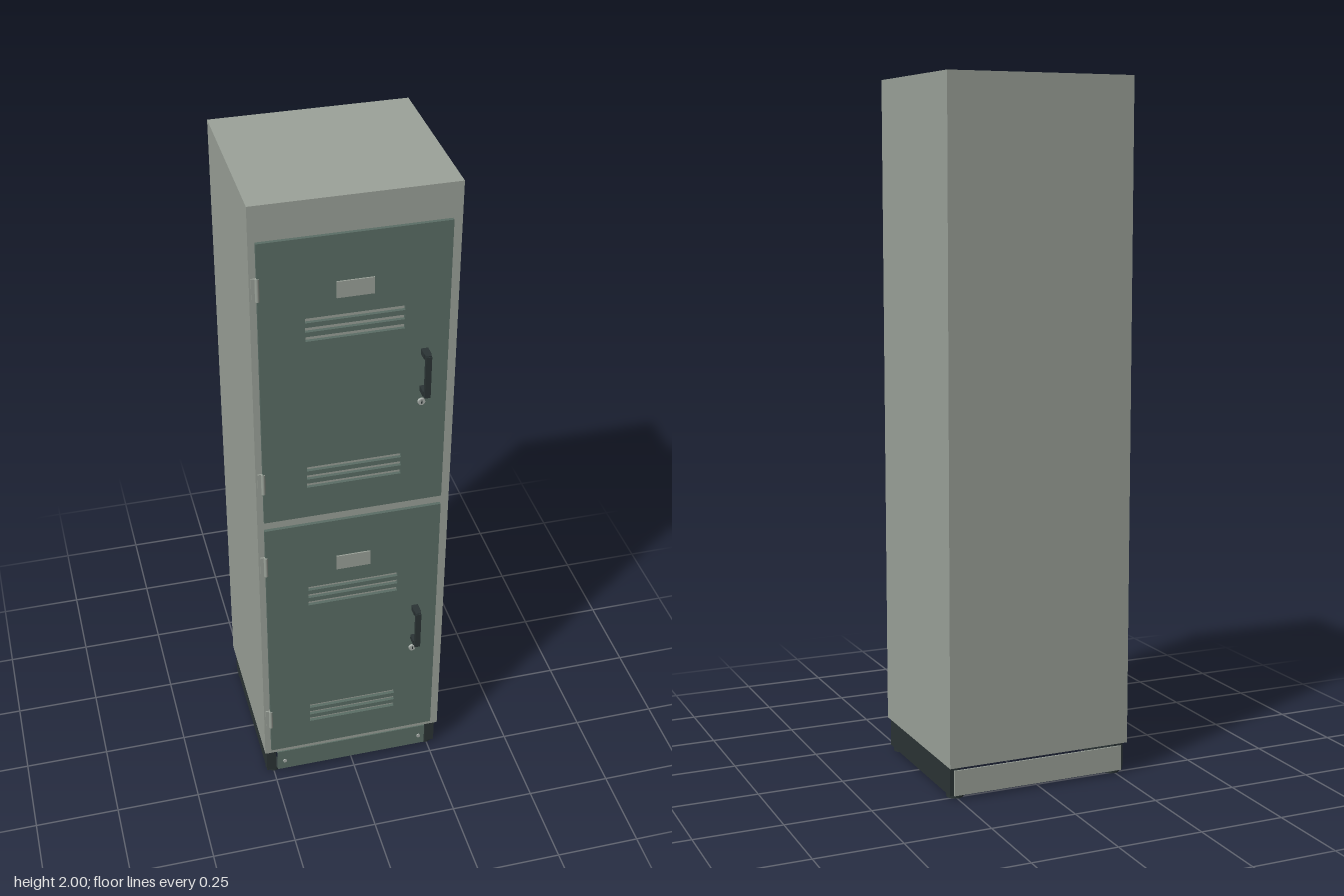
import * as THREE from 'three';

const mat = (name, color) => {
  const m = new THREE.MeshStandardMaterial({ color });
  m.name = name;
  return m;
};

export function createModel() {
  const bodyGrey = mat('body grey', 0x9ca39a);
  const doorGreen = mat('door green', 0x5b6e66);
  const darkPlastic = mat('dark plastic', 0x2b3435);
  const metal = mat('light metal', 0xa9afaa);
  const root = new THREE.Group();
  root.name = 'locker';

  const add = (parent, name, geometry, material) => {
    const mesh = new THREE.Mesh(geometry, material);
    mesh.name = name;
    parent.add(mesh);
    return mesh;
  };
  // Box given by its lower and upper limits on each axis
  const box = (parent, name, material, [x0, x1], [y0, y1], [z0, z1]) => {
    const mesh = add(parent, name, new THREE.BoxGeometry(x1 - x0, y1 - y0, z1 - z0), material);
    mesh.position.set((x0 + x1) / 2, (y0 + y1) / 2, (z0 + z1) / 2);
    return mesh;
  };
  const rect = (path, x0, x1, y0, y1) =>
    path.moveTo(x0, y0).lineTo(x1, y0).lineTo(x1, y1).lineTo(x0, y1).closePath();

  // Cabinet
  box(root, 'cabinet', bodyGrey, [-0.278, 0.278], [0.095, 2], [-0.278, 0.222]);

  // Doors, with heights measured up from y = 0
  const doors = [
    { name: 'upperDoor', y: [1.02, 1.9], vents: [1.632, 1.157], label: 1.742, handle: 1.46, hinges: [1.768, 1.155] },
    { name: 'lowerDoor', y: [0.117, 0.99], vents: [0.725, 0.25], label: 0.837, handle: 0.555, hinges: [0.86, 0.25] },
  ];
  for (const d of doors) {
    const door = new THREE.Group();
    door.name = d.name;
    root.add(door);

    // Panel with two sets of three ventilation slots
    const shape = new THREE.Shape();
    rect(shape, -0.26, 0.252, ...d.y);
    for (const v of d.vents) {
      for (const i of [-1, 0, 1]) {
        const hole = new THREE.Path();
        const y = v + i * 0.028;
        rect(hole, -0.137, 0.13, y - 0.007, y + 0.007);
        shape.holes.push(hole);
      }
    }
    const panel = new THREE.ExtrudeGeometry(shape, { depth: 0.01, bevelEnabled: false });
    add(door, 'doorPanel', panel, doorGreen).position.z = 0.223;

    // Label plate
    box(door, 'labelPlate', bodyGrey, [-0.054, 0.046], [d.label - 0.024, d.label + 0.024], [0.233, 0.237]);

    // Pull handle: two posts, a grip and mounting pads
    const handle = new THREE.Group();
    handle.name = 'handle';
    door.add(handle);
    const h = d.handle;
    for (const s of [-1, 1]) {
      const y = h + s * 0.059;
      box(handle, 'handlePost', darkPlastic, [0.176, 0.196], [y - 0.008, y + 0.008], [0.233, 0.263]);
      box(handle, 'handleCorner', darkPlastic, [0.178, 0.194], [y - 0.008, y + 0.008], [0.263, 0.274]);
    }
    box(handle, 'handleGrip', darkPlastic, [0.178, 0.194], [h - 0.064, h + 0.064], [0.265, 0.277]);

    // Lock below the handle
    const lock = add(door, 'lock', new THREE.CylinderGeometry(0.01, 0.011, 0.006, 20), metal);
    lock.rotation.x = Math.PI / 2;
    lock.position.set(0.182, h - 0.102, 0.236);
    box(door, 'keySlot', darkPlastic, [0.1805, 0.1835], [h - 0.107, h - 0.097], [0.238, 0.2395]);

    // Hinges: a knuckle and a leaf on the frame
    for (const y of d.hinges) {
      const pin = add(door, 'hingeKnuckle', new THREE.CylinderGeometry(0.006, 0.006, 0.066, 12), bodyGrey);
      pin.position.set(-0.259, y, 0.231);
      box(door, 'hingeLeaf', bodyGrey, [-0.273, -0.259], [y - 0.03, y + 0.03], [0.222, 0.226]);
    }
  }

  // Plinth: dark side rails with feet
  for (const s of [-1, 1]) {
    const rail = box(root, 'sideRail', darkPlastic, [-0.0145, 0.0145], [0.01, 0.095], [-0.262, 0.212]);
    rail.position.x = s * 0.2575;
    for (const z of [-0.235, 0.185]) {
      const foot = add(root, 'foot', new THREE.CylinderGeometry(0.025, 0.025, 0.012, 16), darkPlastic);
      foot.position.set(s * 0.247, 0.006, z);
    }
    // Kick plate screws
    const screw = add(root, 'screw', new THREE.CylinderGeometry(0.006, 0.006, 0.004, 12), metal);
    screw.rotation.x = Math.PI / 2;
    screw.position.set(s * 0.217, 0.053, 0.226);
  }

  // Front and back kick plates
  box(root, 'frontKickPlate', doorGreen, [-0.24, 0.236], [0.018, 0.093], [0.219, 0.224]);
  box(root, 'backKickPlate', bodyGrey, [-0.262, 0.262], [0.012, 0.085], [-0.272, -0.267]);

  return root;
}
